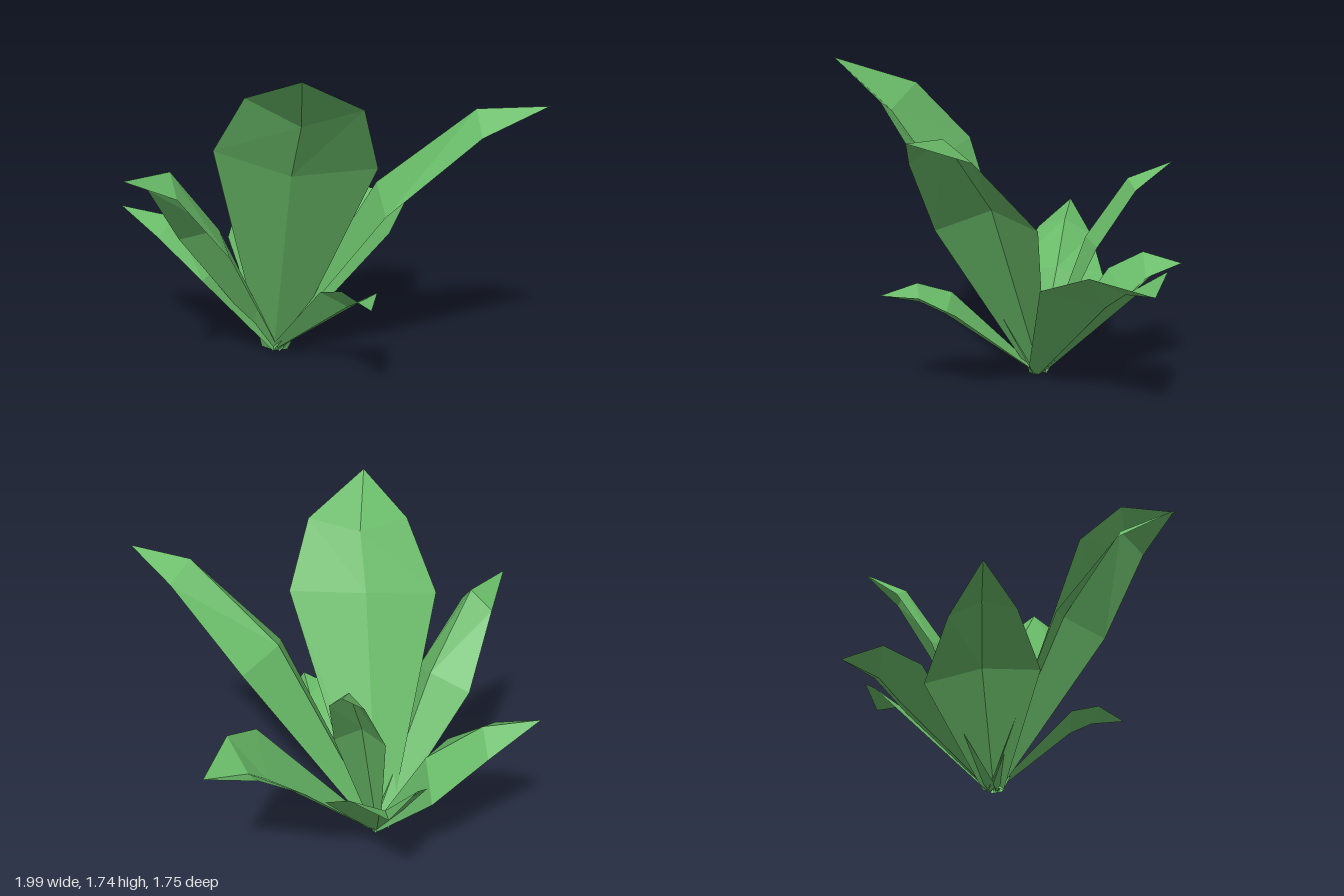
import * as THREE from 'three';

const V = (a) => new THREE.Vector3(...a);
const BASE = V([-0.04, 0.03, -0.135]);

// Each leaf: centre of its two cross-sections, tip, half-width vector,
// fold (+ rib raised on the inner face, - rib sunk outwards) and taper.
const LEAVES = [
  { name: 'tallFrontLeaf', c1: [-0.14, 1.26, 0.33], c2: [-0.21, 1.59, 0.57], tip: [-0.37, 1.76, 0.87], side: [0.34, -0.03, 0.22], fold: -0.12, taper: 0.68 },
  { name: 'tallSideLeaf', c1: [0.44, 0.98, 0.315], c2: [0.765, 1.38, 0.62], tip: [0.99, 1.515, 0.825], side: [0.17, 0.02, -0.205], fold: 0.125, taper: 0.57 },
  { name: 'rightLeaf', c1: [-0.525, 0.77, 0.07], c2: [-0.78, 1.13, 0.2], tip: [-1, 1.255, 0.31], side: [-0.065, 0, -0.19], fold: 0.13, taper: 0.57 },
  { name: 'backRightLeaf', c1: [-0.31, 0.48, -0.36], c2: [-0.535, 0.69, -0.49], tip: [-0.745, 0.835, -0.61], side: [0.155, -0.03, -0.23], fold: 0.11, taper: 0.58 },
  { name: 'leftLeaf', c1: [0.535, 0.68, -0.24], c2: [0.745, 0.785, -0.305], tip: [0.955, 0.73, -0.34], side: [0.025, 0.01, 0.32], fold: -0.12, taper: 0.67 },
  { name: 'backLeaf', c1: [0.12, 0.53, -0.51], c2: [0.16, 0.655, -0.69], tip: [0.21, 0.65, -0.875], side: [0.245, -0.03, 0.08], fold: -0.1, taper: 0.65 },
  { name: 'slimBackLeaf', c1: [0.165, 0.79, -0.4], c2: [0.29, 1.1, -0.55], tip: [0.375, 1.25, -0.71], side: [0.115, 0.01, 0.06], fold: 0.08, taper: 0.65 },
  { name: 'lowFrontLeaf', c1: [0.13, 0.53, 0.39], c2: [0.1, 0.61, 0.57], tip: [0.06, 0.59, 0.76], side: [0.14, -0.02, 0.03], fold: -0.07, taper: 0.65 },
];

// Folded leaf: three cross-sections of edge, rib, edge, closing in a point.
function leafGeometry({ c1, c2, tip, side, fold, taper }) {
  const centres = [BASE, V(c1), V(c2), V(tip)];
  const w = V(side);
  const points = [];
  [0.18, 1, taper].forEach((scale, i) => {
    const c = centres[i];
    const tangent = centres[i + 1].clone().sub(c).normalize();
    if (i === 1) tangent.add(c.clone().sub(centres[0]).normalize());
    const n = tangent.cross(w).normalize();
    if (n.y < 0) n.negate();
    const depth = fold * (i === 0 ? 0.18 : i === 1 ? 1 : 0.9);
    points.push(
      c.clone().addScaledVector(w, -scale),
      c.clone().addScaledVector(n, depth),
      c.clone().addScaledVector(w, scale),
    );
  });
  points.push(centres[3]);

  const index = [];
  for (let half = 0; half < 2; half++) {
    for (let ring = 0; ring < 2; ring++) {
      const a = ring * 3 + half;
      index.push(a, a + 1, a + 4, a, a + 4, a + 3);
    }
    index.push(6 + half, 7 + half, 9);
  }
  const g = new THREE.BufferGeometry().setFromPoints(points);
  g.setIndex(index);
  const flat = g.toNonIndexed();
  flat.computeVertexNormals();
  return flat;
}

export function createModel() {
  const plant = new THREE.Group();
  plant.name = 'plant';
  const leafGreen = new THREE.MeshStandardMaterial({ color: 0x69bb68, side: THREE.DoubleSide, flatShading: true });
  leafGreen.name = 'leafGreen';
  for (const spec of LEAVES) {
    const leaf = new THREE.Mesh(leafGeometry(spec), leafGreen);
    leaf.name = spec.name;
    plant.add(leaf);
  }
  return plant;
}
